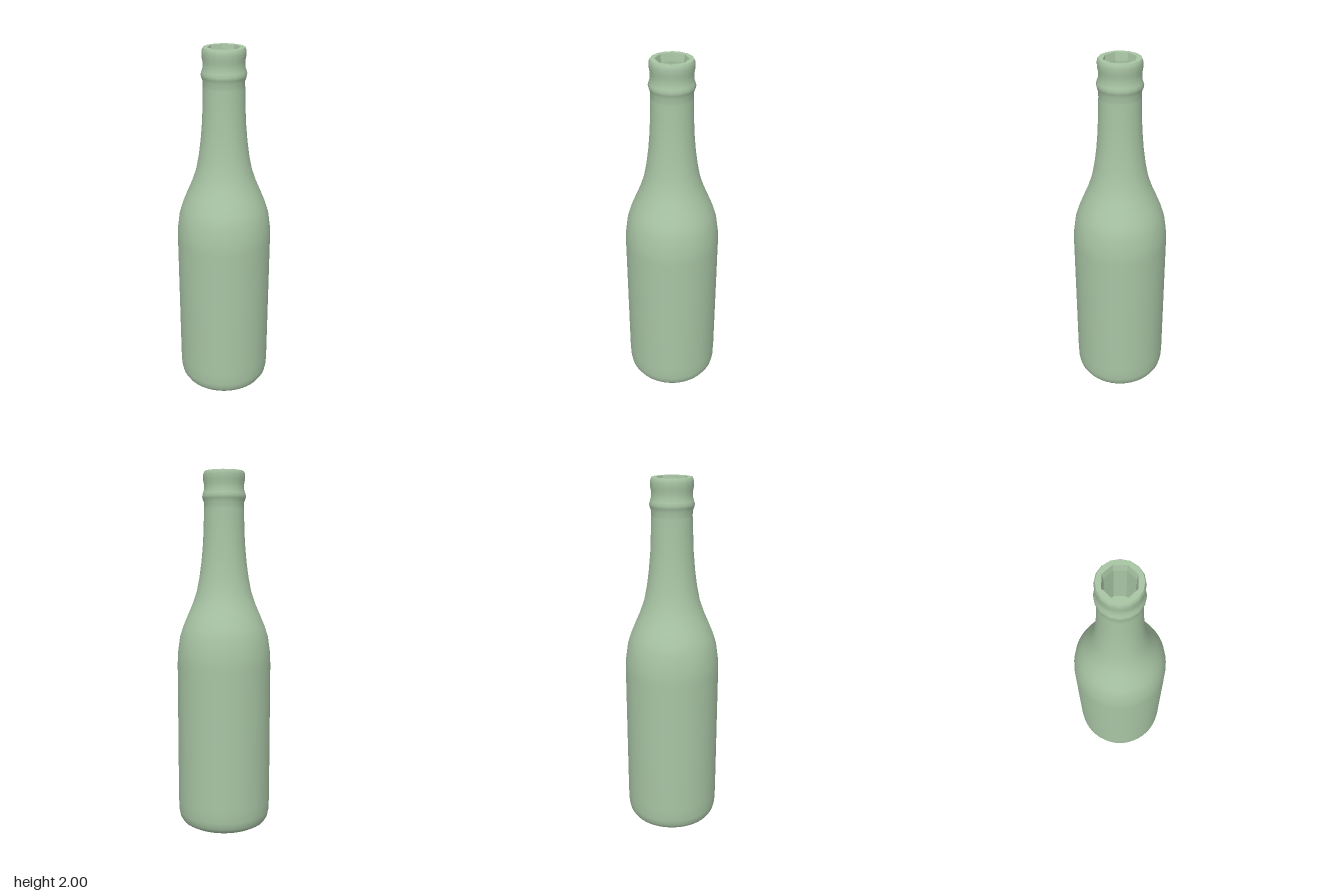
import * as THREE from 'three';

const glass = new THREE.MeshStandardMaterial({ color: 0xa8c4a4 });
glass.name = 'paleGreenGlass';

// Revolve a profile of [radius, height] pairs
function turned(name, profile, sides, flat = false) {
  let geometry = new THREE.LatheGeometry(profile.map(([r, y]) => new THREE.Vector2(r, y)), sides);
  if (flat) {
    geometry = geometry.toNonIndexed();
    geometry.computeVertexNormals();
  }
  const mesh = new THREE.Mesh(geometry, glass);
  mesh.name = name;
  return mesh;
}

// Corners of a regular polygon with a corner on each axis
function polygon(radius, sides) {
  return Array.from({ length: sides }, (_, i) => {
    const a = (i / sides) * Math.PI * 2;
    return new THREE.Vector2(Math.cos(a) * radius, Math.sin(a) * radius);
  });
}

export function createModel() {
  const bottle = new THREE.Group();
  bottle.name = 'bottle';

  // Hollow underside
  bottle.add(turned('base', [[0, 0.06], [0.09, 0.053], [0.17, 0.032], [0.222, 0]], 48));

  // Straight body, shoulder and tapering neck
  bottle.add(turned('body', [
    [0.222, 0], [0.242, 0.012], [0.256, 0.035], [0.263, 0.07], [0.265, 0.14], [0.265, 0.93],
    [0.262, 1.0], [0.25, 1.085], [0.231, 1.145], [0.204, 1.21], [0.178, 1.27], [0.154, 1.34],
    [0.138, 1.42], [0.126, 1.51], [0.117, 1.61], [0.113, 1.71], [0.111, 1.8],
  ], 48));

  // Collar bead and lip
  bottle.add(turned('collarAndLip', [
    [0.111, 1.79], [0.111, 1.83], [0.119, 1.85], [0.122, 1.864], [0.118, 1.88],
    [0.111, 1.9], [0.111, 1.93], [0.115, 1.95], [0.116, 1.975], [0.114, 1.99], [0.109, 2],
  ], 16));

  // Flat rim with an eight-sided opening
  const rimShape = new THREE.Shape(polygon(0.109, 16));
  rimShape.holes.push(new THREE.Path(polygon(0.087, 8)));
  const rim = new THREE.Mesh(new THREE.ShapeGeometry(rimShape).rotateX(-Math.PI / 2), glass);
  rim.name = 'rim';
  rim.position.y = 2;
  bottle.add(rim);

  // Inside of the neck, with its floor
  bottle.add(turned('bore', [[0.087, 2], [0.08, 1.96], [0.08, 1.7], [0, 1.7]], 8, true));

  return bottle;
}
